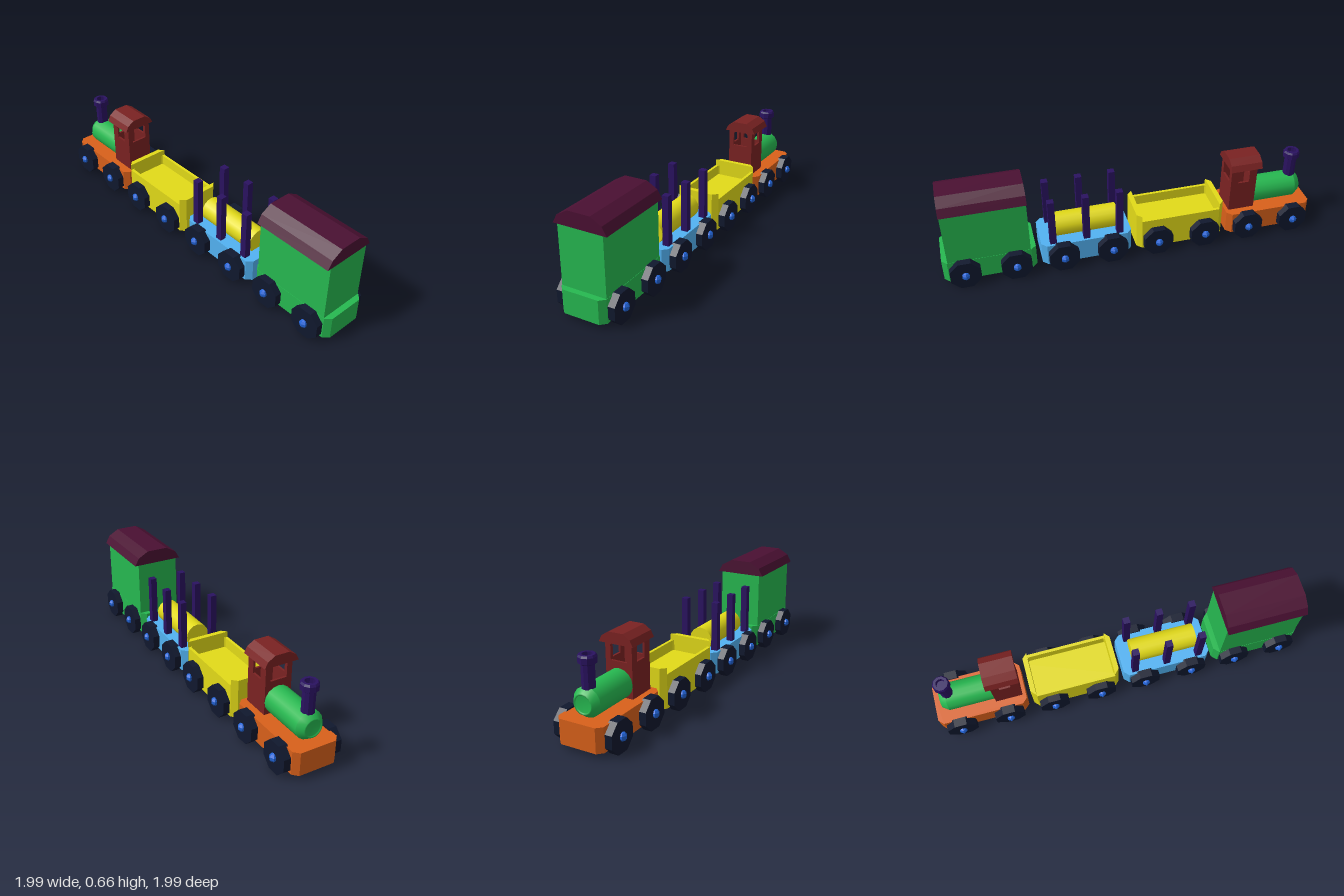
import * as THREE from 'three';

const mat = (color, opts = {}) => Object.assign(
  new THREE.MeshStandardMaterial({ color }), opts);
const M = {
  orange: mat(0xd8601a), green: mat(0x26b850), red: mat(0x7a2222),
  purple: mat(0x2a1260), black: mat(0x10182e, { flatShading: true }),
  hub: mat(0x2264d8, { flatShading: true }), yellow: mat(0xe2da18),
  blue: mat(0x52b2f2), roof: mat(0x4a1032, { flatShading: true }),
};

function add(parent, name, geo, material, x = 0, y = 0, z = 0) {
  const mesh = new THREE.Mesh(geo, material);
  mesh.name = name;
  mesh.position.set(x, y, z);
  parent.add(mesh);
  return mesh;
}

const toShape = pts => new THREE.Shape(pts.map(p => new THREE.Vector2(...p)));

// Rectangle in plan with cut corners
function cutRect(w, l, c) {
  return [[w, l - c], [w - c, l], [c - w, l], [-w, l - c],
    [-w, c - l], [c - w, -l], [w - c, -l], [w, c - l]];
}

// Plan outline (x, z) raised from y0 to y1
function slab(shape, y0, y1) {
  const geo = new THREE.ExtrudeGeometry(shape, { depth: y1 - y0, bevelEnabled: false });
  return geo.rotateX(Math.PI / 2).translate(0, y1, 0);
}

// Faceted arched roof running along z
function archedRoof(w, h, length) {
  const shape = toShape([[-w, 0], [w, 0], [w * 0.83, h * 0.55], [w * 0.42, h * 0.97],
    [-w * 0.42, h * 0.97], [-w * 0.83, h * 0.55]]);
  return new THREE.ExtrudeGeometry(shape, { depth: length, bevelEnabled: false })
    .translate(0, 0, -length / 2);
}

// Upright wall with a window, centred on x and z
function windowWall(w, h, holeHalf, holeY0, holeY1, t) {
  const shape = toShape([[-w, 0], [w, 0], [w, h], [-w, h]]);
  const c = 0.012;
  shape.holes.push(toShape([[-holeHalf, holeY0], [-holeHalf, holeY1 - c],
    [c - holeHalf, holeY1], [holeHalf - c, holeY1], [holeHalf, holeY1 - c], [holeHalf, holeY0]]));
  return new THREE.ExtrudeGeometry(shape, { depth: t, bevelEnabled: false })
    .translate(0, 0, -t / 2);
}

const W = 0.15, L = 0.3, CUT = 0.033, DECK = 0.185;

// Chassis with four wheels
function makeCar(name, material) {
  const car = new THREE.Group();
  car.name = name;
  add(car, 'chassis', slab(toShape(cutRect(W, L, CUT)), 0.033, DECK), material);
  const wheelGeo = new THREE.CylinderGeometry(0.1055, 0.1055, 0.055, 8)
    .rotateY(Math.PI / 8).rotateZ(Math.PI / 2);
  const hubGeo = new THREE.SphereGeometry(0.028, 6, 5);
  for (const sx of [-1, 1]) for (const z of [-0.1625, 0.1625]) {
    add(car, 'wheel', wheelGeo, M.black, sx * 0.1675, 0.0975, z);
    add(car, 'wheelHub', hubGeo, M.hub, sx * 0.195, 0.0975, z);
  }
  return car;
}

function makeLocomotive() {
  const car = makeCar('locomotive', M.orange);

  // Boiler with bevelled, slightly recessed nose
  const flatRun = [[0, 0.235], [0.052, 0.235], [0.052, 0.243], [0.062, 0.243],
    [0.09, 0.205], [0.09, 0.2], [0.09, -0.1]];
  const boiler = new THREE.LatheGeometry(
    flatRun.map(p => new THREE.Vector2(...p)).reverse(), 16).rotateX(-Math.PI / 2);
  add(car, 'boiler', boiler, M.green, 0, 0.27, 0);

  // Chimney with flared rim and hollow mouth
  const stack = [[0.04, 0.3], [0.04, 0.485], [0.055, 0.495], [0.055, 0.53], [0.047, 0.542],
    [0.03, 0.542], [0.03, 0.51], [0, 0.51]];
  add(car, 'chimney', new THREE.LatheGeometry(stack.map(p => new THREE.Vector2(...p)), 10),
    mat(0x2a1260, { flatShading: true }), 0, 0, -0.183);

  // Hollow cab with a window in each wall
  const cab = new THREE.Group();
  cab.name = 'cab';
  cab.position.set(0, DECK, 0.187);
  car.add(cab);
  const t = 0.014, h = 0.33, w = 0.09;
  const endWall = windowWall(w, h, 0.055, 0.215, 0.318, t);
  const sideWall = windowWall(w - t, h, 0.038, 0.215, 0.318, t).rotateY(Math.PI / 2);
  for (const s of [-1, 1]) {
    add(cab, 'cabEndWall', endWall, M.red, 0, 0, s * (w - t / 2));
    add(cab, 'cabSideWall', sideWall, M.red, s * (w - t / 2), 0, 0);
  }
  add(cab, 'cabRoof', archedRoof(0.115, 0.071, 0.215), M.red, 0, 0.325, -0.007);
  return car;
}

function makeOpenWagon() {
  const car = makeCar('openWagon', M.yellow);
  const rim = toShape(cutRect(W, L, CUT));
  const t = 0.02;
  rim.holes.push(toShape(cutRect(W - t, L - t, CUT - 0.012).reverse()));
  add(car, 'tubWall', slab(rim, DECK, 0.255), M.yellow);
  // Raised end boards
  const board = slab(toShape([[W, L - CUT], [W - CUT, L], [CUT - W, L], [-W, L - CUT]]), DECK, 0.295);
  for (const r of [0, Math.PI]) add(car, 'endBoard', board, M.yellow).rotation.y = r;
  return car;
}

function makeLogWagon() {
  const car = makeCar('logWagon', M.blue);
  add(car, 'log', new THREE.CylinderGeometry(0.08, 0.08, 0.445, 16).rotateX(Math.PI / 2),
    M.yellow, 0, 0.24, 0);
  const stake = new THREE.BoxGeometry(0.043, 0.34, 0.043);
  for (const sx of [-1, 1]) for (const z of [-0.222, 0, 0.222])
    add(car, 'stake', stake, M.purple, sx * 0.113, 0.345, z);
  return car;
}

function makeBoxWagon() {
  const car = makeCar('boxWagon', M.green);
  add(car, 'boxBody', new THREE.BoxGeometry(0.296, 0.385, 0.526), M.green, 0, DECK + 0.1925, 0);
  add(car, 'boxRoof', archedRoof(0.175, 0.097, 0.532), M.roof, 0, 0.561, 0);
  return car;
}

export function createModel() {
  const model = new THREE.Group();
  model.name = 'toyTrain';
  // The train runs along its own z, set diagonally
  const train = new THREE.Group();
  train.name = 'train';
  train.rotation.y = Math.PI / 4;
  model.add(train);
  [makeLocomotive(), makeOpenWagon(), makeLogWagon(), makeBoxWagon()].forEach((car, i) => {
    car.position.z = (i - 1.5) * 0.636;
    train.add(car);
  });
  return model;
}
